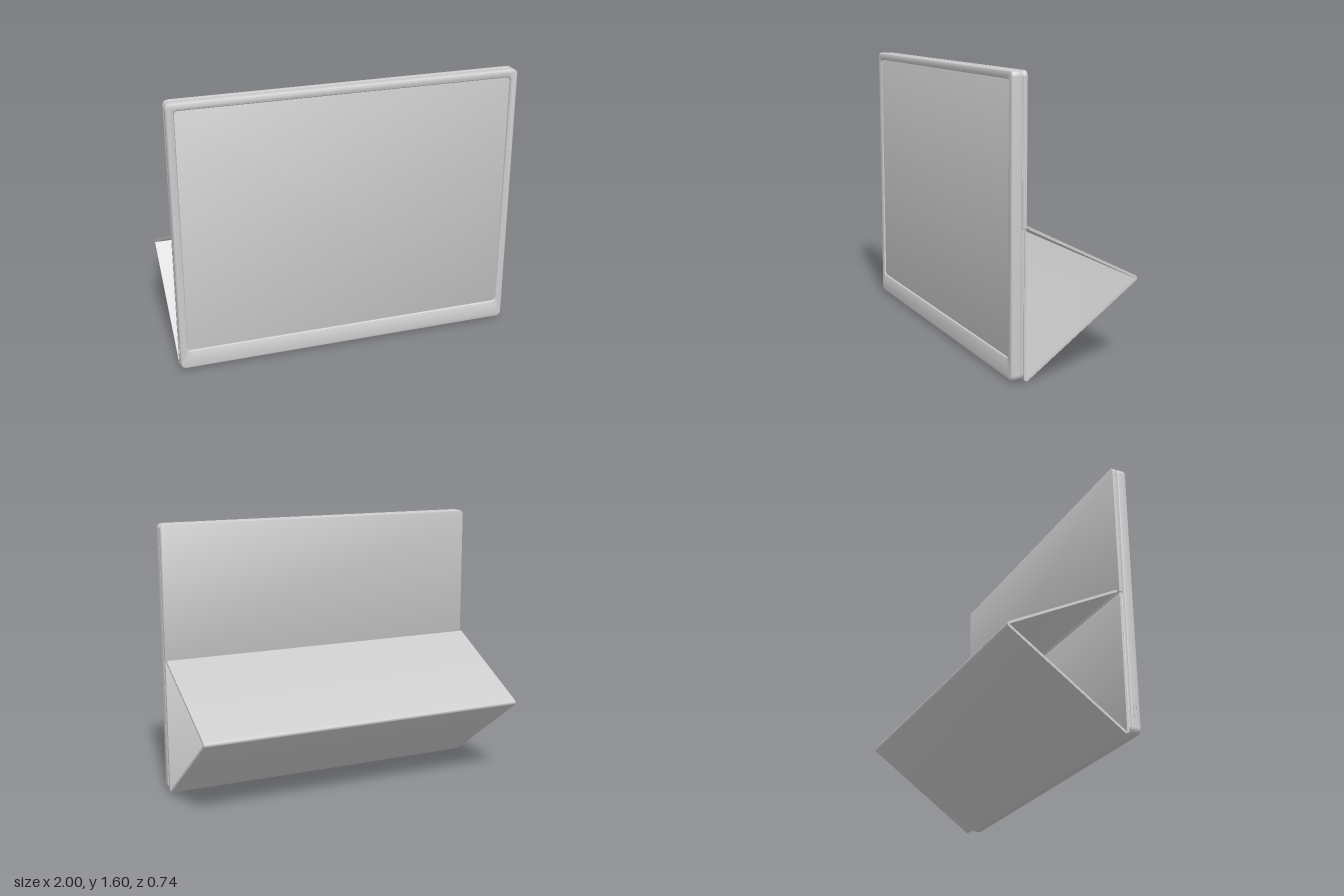
import * as THREE from 'three';
import { toCreasedNormals } from 'three/addons/utils/BufferGeometryUtils.js';

const grey = new THREE.MeshStandardMaterial({ color: 0xcccccc });

function add(parent, name, geometry) {
  const mesh = new THREE.Mesh(toCreasedNormals(geometry, 0.6), grey);
  mesh.name = name;
  parent.add(mesh);
  return mesh;
}

// Rectangle with separate corner radii at the top and bottom
function roundedRect(path, x0, y0, x1, y1, rTop, rBottom = rTop) {
  const q = Math.PI / 2;
  path.absarc(x1 - rBottom, y0 + rBottom, rBottom, -q, 0);
  path.absarc(x1 - rTop, y1 - rTop, rTop, 0, q);
  path.absarc(x0 + rTop, y1 - rTop, rTop, q, 2 * q);
  path.absarc(x0 + rBottom, y0 + rBottom, rBottom, 2 * q, 3 * q);
  path.closePath();
  return path;
}

// Slab between two z planes with softened edges
function slab(shape, z0, z1, bevel) {
  const geometry = new THREE.ExtrudeGeometry(shape, {
    depth: z1 - z0 - 2 * bevel, bevelEnabled: true, bevelThickness: bevel,
    bevelSize: bevel, bevelOffset: -bevel, bevelSegments: 4, curveSegments: 8,
  });
  return geometry.translate(0, 0, z0 + bevel);
}

// Sheet of even thickness along a (z, y) line, with rounded ends, across the full width
function sheet(points, half, width) {
  const n = points.length;
  const angles = points.map((p, i) => {
    const d = points[Math.min(i + 1, n - 1)].clone().sub(points[Math.max(i - 1, 0)]);
    return Math.atan2(d.y, d.x);
  });
  const at = (p, a) => new THREE.Vector2(p.x + half * Math.cos(a), p.y + half * Math.sin(a));
  const outline = points.map((p, i) => at(p, angles[i] - Math.PI / 2));
  for (let k = 1; k < 6; k++) outline.push(at(points[n - 1], angles[n - 1] - Math.PI / 2 + k * Math.PI / 6));
  for (let i = n - 1; i >= 0; i--) outline.push(at(points[i], angles[i] + Math.PI / 2));
  for (let k = 1; k < 6; k++) outline.push(at(points[0], angles[0] + Math.PI / 2 + k * Math.PI / 6));
  const geometry = new THREE.ExtrudeGeometry(new THREE.Shape(outline), { depth: width, bevelEnabled: false });
  return geometry.rotateY(-Math.PI / 2).translate(width / 2, 0, 0);
}

export function createModel() {
  const model = new THREE.Group();
  model.name = 'displayWithFoldingStand';

  // Front housing with the screen opening
  const frame = roundedRect(new THREE.Shape(), -1, 0.01, 1, 1.597, 0.03);
  frame.holes.push(roundedRect(new THREE.Path(), -0.954, 0.125, 0.954, 1.553, 0.02));
  add(model, 'frontHousing', slab(frame, 0.313, 0.372, 0.012));

  // Screen set slightly back in the opening
  add(model, 'screen', slab(roundedRect(new THREE.Shape(), -0.97, 0.1, 0.97, 1.57, 0.02), 0.318, 0.362, 0.002));

  // Back cover: a thin full plate, thicker over the upper half
  add(model, 'backCover', slab(roundedRect(new THREE.Shape(), -0.997, 0.012, 0.997, 1.594, 0.03), 0.301, 0.315, 0.002));
  add(model, 'upperBackPanel', slab(roundedRect(new THREE.Shape(), -1, 0.803, 1, 1.597, 0.03, 0.004), 0.286, 0.311, 0.004));

  // Folding stand: flat panel on the back, then a sheet folded at the rear
  const stand = new THREE.Group();
  stand.name = 'foldingStand';
  model.add(stand);
  const v = (z, y) => new THREE.Vector2(z, y);
  add(stand, 'mountingPanel', sheet([v(0.294, 0.796), v(0.294, 0.012)], 0.006, 1.996));

  const foot = v(0.283, 0.007), fold = v(-0.373, 0.48), top = v(0.268, 0.803);
  const toward = (end) => fold.clone().add(end.clone().sub(fold).setLength(0.022));
  const bend = new THREE.QuadraticBezierCurve(toward(foot), fold, toward(top)).getPoints(10);
  add(stand, 'foldedLeg', sheet([foot, ...bend, top], 0.007, 1.996));

  // Raised oval socket rim on the right-hand edge
  const rim = roundedRect(new THREE.Shape(), -0.013, -0.035, 0.013, 0.035, 0.0125);
  rim.holes.push(roundedRect(new THREE.Path(), -0.008, -0.03, 0.008, 0.03, 0.0078));
  const socket = add(model, 'sideSocket', new THREE.ExtrudeGeometry(rim, { depth: 0.004, bevelEnabled: false }));
  socket.rotation.y = -Math.PI / 2;
  socket.position.set(-0.998, 0.13, 0.342);

  return model;
}
